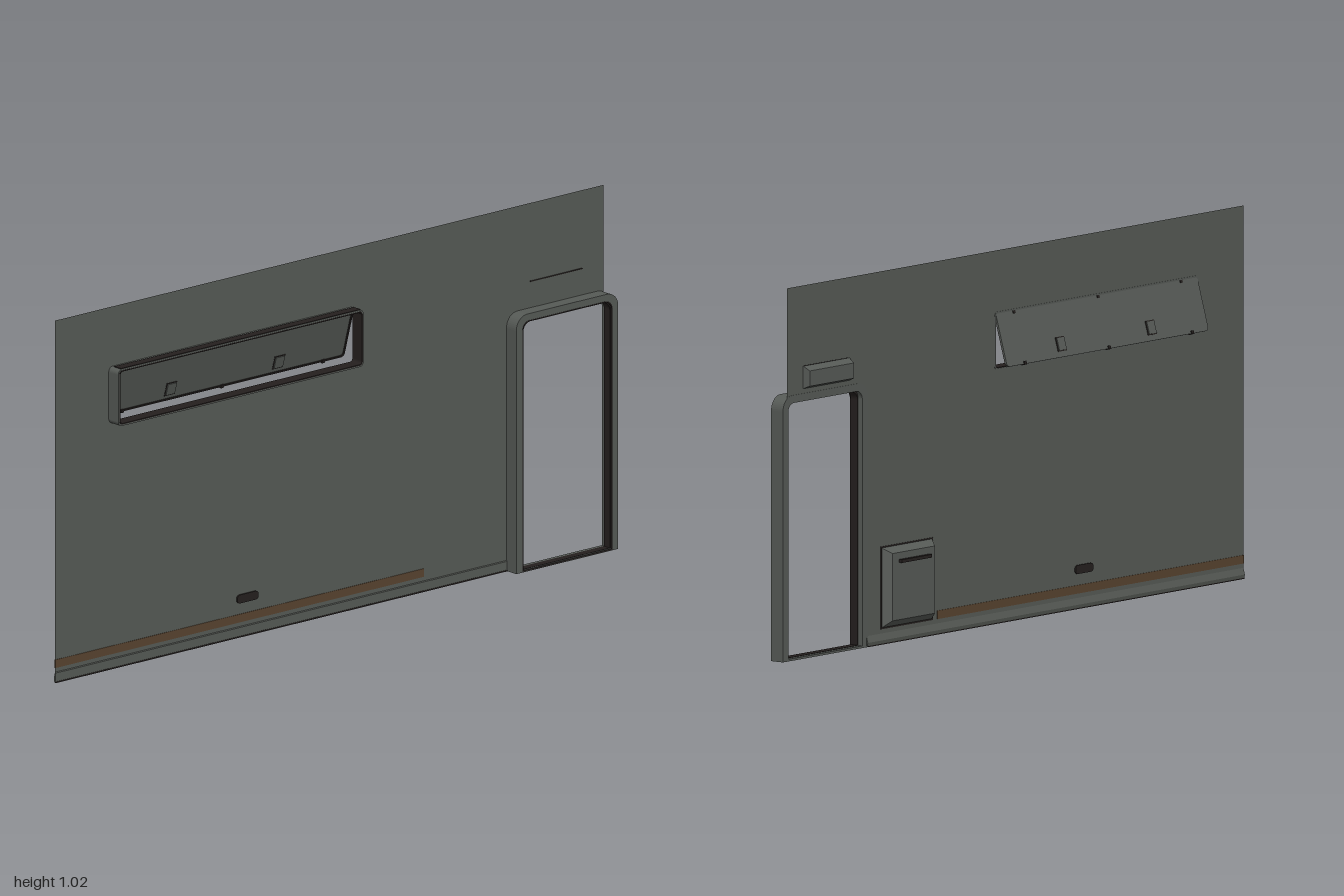
import * as THREE from 'three';

const paint = (name, color, side = THREE.FrontSide) => {
  const m = new THREE.MeshStandardMaterial({ color, side });
  m.name = name;
  return m;
};

// rectangle outline with separate top and bottom corner radii
function outline(path, x0, y0, x1, y1, rt, rb = rt) {
  path.moveTo(x0 + rb, y0);
  path.lineTo(x1 - rb, y0);
  if (rb) path.absarc(x1 - rb, y0 + rb, rb, -Math.PI / 2, 0);
  path.lineTo(x1, y1 - rt);
  if (rt) path.absarc(x1 - rt, y1 - rt, rt, 0, Math.PI / 2);
  path.lineTo(x0 + rt, y1);
  if (rt) path.absarc(x0 + rt, y1 - rt, rt, Math.PI / 2, Math.PI);
  path.lineTo(x0, y0 + rb);
  if (rb) path.absarc(x0 + rb, y0 + rb, rb, Math.PI, Math.PI * 1.5);
  return path;
}

// hollow frame: rectangles are [x0, y0, x1, y1, topRadius, bottomRadius]
function ring(outer, inner, z0, z1) {
  const s = outline(new THREE.Shape(), ...outer);
  s.holes.push(outline(new THREE.Path(), ...inner));
  const g = new THREE.ExtrudeGeometry(s, { depth: z1 - z0, bevelEnabled: false, curveSegments: 6 });
  return g.translate(0, 0, z0);
}

// tapered cover standing out of the back of the wall
function cover(x0, y0, x1, y1, depth, inX, inTop, inBottom) {
  const g = new THREE.BoxGeometry(x1 - x0, y1 - y0, depth);
  const p = g.attributes.position;
  for (let i = 0; i < p.count; i++) {
    if (p.getZ(i) > 0) continue;
    p.setX(i, p.getX(i) - Math.sign(p.getX(i)) * inX);
    p.setY(i, p.getY(i) + (p.getY(i) > 0 ? -inTop : inBottom));
  }
  g.computeVertexNormals();
  return g.translate((x0 + x1) / 2, (y0 + y1) / 2, -depth / 2 - 0.0005);
}

export function createModel() {
  const root = new THREE.Group();
  const grey = paint('wall grey', 0x565a56);
  const sheet = paint('sheet grey', 0x565a55, THREE.DoubleSide);
  const dark = paint('dark rubber', 0x241f1e);
  const brown = paint('brown stripe', 0x58432f);

  const add = (name, geometry, material, parent = root) => {
    const m = new THREE.Mesh(geometry, material);
    m.name = name;
    parent.add(m);
    return m;
  };
  const box = (name, x0, x1, y0, y1, z0, z1, material, parent) => add(name,
    new THREE.BoxGeometry(x1 - x0, y1 - y0, z1 - z0)
      .translate((x0 + x1) / 2, (y0 + y1) / 2, (z0 + z1) / 2), material, parent);

  // wall sheet with window hole and door cut-out
  const wall = new THREE.Shape();
  [[-1, 0.028], [0.64, 0.028], [0.64, 0.715], [0.98, 0.715], [0.98, 1.02], [-1, 1.02]]
    .forEach(([x, y], i) => (i ? wall.lineTo(x, y) : wall.moveTo(x, y)));
  wall.holes.push(outline(new THREE.Path(), -0.802, 0.697, 0.076, 0.85, 0.012));
  add('wall', new THREE.ShapeGeometry(wall), sheet);

  // rolled lower edge
  const lip = new THREE.Shape();
  lip.moveTo(0.003, 0.003);
  lip.lineTo(0.003, 0.028);
  lip.lineTo(0, 0.03);
  lip.lineTo(-0.005, 0.012);
  lip.lineTo(-0.003, 0.003);
  const lipGeo = new THREE.ExtrudeGeometry(lip, { depth: 1.635, bevelEnabled: false });
  lipGeo.rotateY(Math.PI / 2).scale(1, 1, -1);
  // the mirroring reversed the faces, so swap two corners of each
  const lp = lipGeo.attributes.position;
  for (let i = 0; i < lp.count; i += 3) {
    const a = [lp.getX(i), lp.getY(i), lp.getZ(i)];
    lp.setXYZ(i, lp.getX(i + 1), lp.getY(i + 1), lp.getZ(i + 1));
    lp.setXYZ(i + 1, ...a);
  }
  lipGeo.scale(1, 1, -1).scale(1, 1, -1);
  lipGeo.computeVertexNormals();
  lipGeo.translate(-1, 0, 0);
  add('lowerEdge', lipGeo, sheet);
  box('lowerSeal', -1, 0.63, 0, 0.004, -0.003, 0.004, dark);

  // painted stripe and small vent, on both faces
  for (const side of [1, -1]) {
    const z = side * 0.0012;
    box('stripe', -1, 0.33, 0.042, 0.065, z - 0.0008, z + 0.0008, brown);
    const v = outline(new THREE.Shape(), -0.345, 0.096, -0.268, 0.12, 0.01);
    const vent = new THREE.ExtrudeGeometry(v, { depth: 0.004, bevelEnabled: false });
    add('vent', vent.translate(0, 0, side > 0 ? 0 : -0.004), dark);
  }

  // door frame, dark inner seal and threshold
  add('doorFrame', ring([0.63, 0, 0.998, 0.725, 0.04, 0],
    [0.654, 0.006, 0.975, 0.704, 0.024, 0], -0.001, 0.04), grey);
  add('doorSeal', ring([0.656, 0.004, 0.973, 0.706, 0.024, 0],
    [0.658, 0.007, 0.971, 0.701, 0.024, 0], 0.012, 0.036), dark);
  add('doorFrameEdge', ring([0.652, 0.002, 0.977, 0.706, 0.026, 0],
    [0.655, 0.006, 0.974, 0.703, 0.024, 0], 0.036, 0.0412), dark);

  // window frame with dark lining
  add('windowFrame', ring([-0.806, 0.692, 0.08, 0.852, 0.014],
    [-0.801, 0.697, 0.075, 0.847, 0.01], -0.001, 0.039), grey);
  add('windowLining', ring([-0.802, 0.696, 0.076, 0.848, 0.011],
    [-0.799, 0.699, 0.073, 0.845, 0.009], 0.001, 0.04), dark);
  box('windowTopSeal', -0.795, 0.07, 0.852, 0.854, 0.01, 0.038, dark);

  // hatch hinged at the top and swung outwards at the back
  const hatch = new THREE.Group();
  hatch.name = 'hatch';
  hatch.position.set(-0.363, 0.85, 0.006);
  hatch.rotation.x = 0.275;
  root.add(hatch);
  const plate = outline(new THREE.Shape(), -0.437, -0.152, 0.437, 0, 0.006, 0.012);
  add('hatchPanel', new THREE.ExtrudeGeometry(plate, { depth: 0.005, bevelEnabled: false })
    .translate(0, 0, -0.005), grey, hatch);
  add('hatchSeal', ring([-0.435, -0.15, 0.435, -0.002, 0.006, 0.012],
    [-0.43, -0.145, 0.43, -0.007, 0.006, 0.01], -0.001, 0.003), dark, hatch);
  for (const x of [-0.197, 0.193]) {
    box('latchSeal', x - 0.019, x + 0.019, -0.136, -0.096, -0.0065, 0.001, dark, hatch);
    box('latch', x - 0.016, x + 0.016, -0.133, -0.099, -0.009, 0.004, grey, hatch);
  }
  for (const x of [-0.365, -0.005, 0.36]) {
    box('lowerClip', x - 0.005, x + 0.005, -0.154, -0.144, -0.008, 0.004, dark, hatch);
    box('upperClip', x - 0.005, x + 0.005, -0.012, -0.004, -0.007, 0, dark, hatch);
  }

  // service cover with handle
  add('serviceCover', cover(0.352, 0.045, 0.572, 0.265, 0.025, 0.018, 0.016, 0.02), grey);
  box('serviceSeal', 0.349, 0.575, 0.042, 0.268, -0.002, -0.0006, dark);
  box('serviceHandle', 0.395, 0.525, 0.221, 0.23, -0.036, -0.024, dark);

  // lamp over the door
  add('doorLamp', cover(0.71, 0.738, 0.91, 0.8, 0.02, 0.004, 0.012, 0.008), grey);
  box('lampSlot', 0.715, 0.905, 0.798, 0.801, -0.001, 0.002, dark);

  return root;
}
